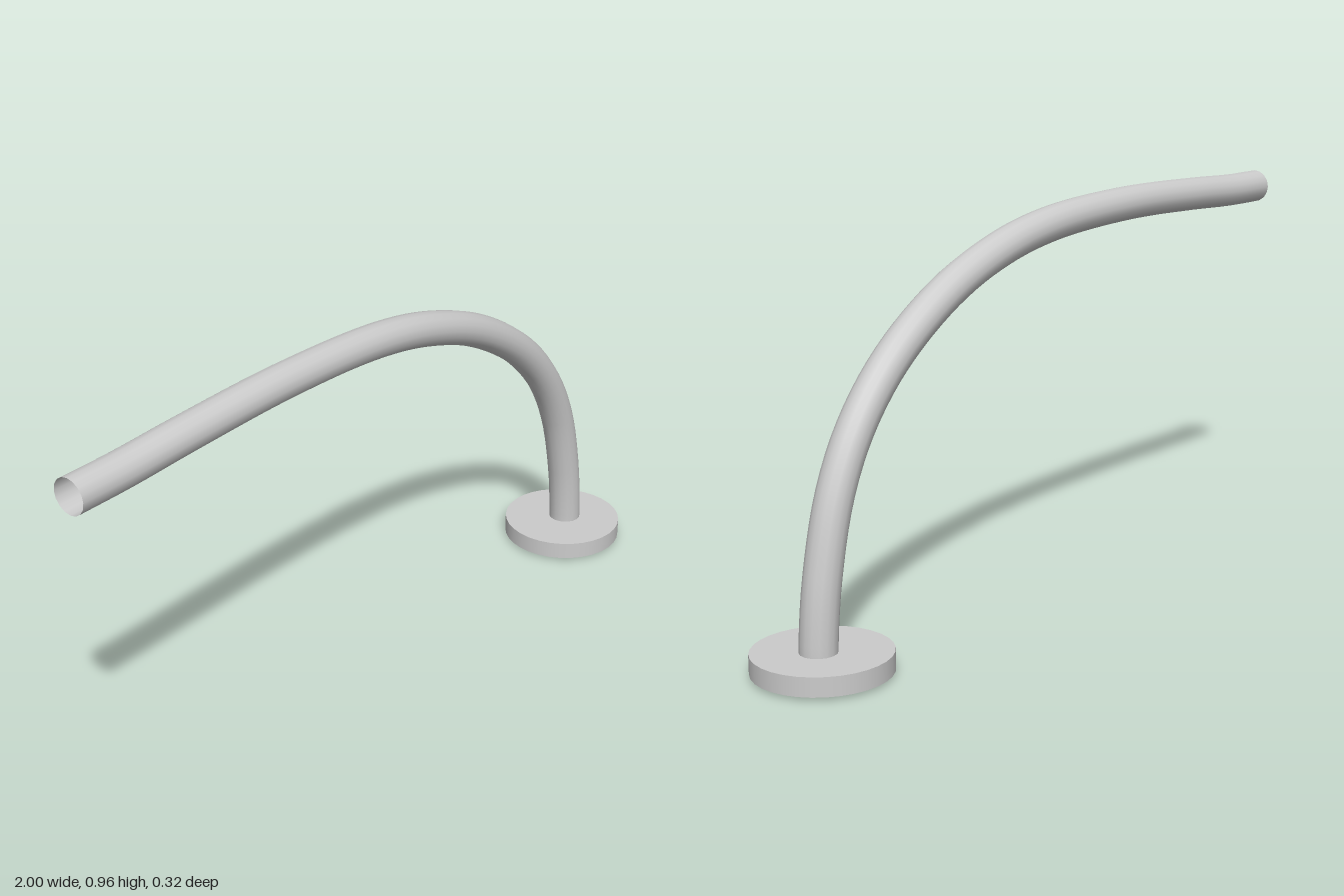
import * as THREE from 'three';

export function createModel() {
  const group = new THREE.Group();

  // Curved hollow arm: rises from the mounting plate and bends over to the side
  const path = new THREE.CatmullRomCurve3([
    [0.851, 0.002], [0.849, 0.08], [0.832, 0.22], [0.785, 0.4], [0.71, 0.54], [0.59, 0.668],
    [0.4, 0.79], [0.2, 0.865], [0, 0.904], [-0.33, 0.921], [-0.66, 0.913], [-0.85, 0.904], [-1, 0.902],
  ].map(([x, y]) => new THREE.Vector3(x, y, 0)));
  const arm = new THREE.Mesh(
    new THREE.TubeGeometry(path, 64, 0.044, 16, false),
    new THREE.MeshStandardMaterial({ color: 0xcccccc, side: THREE.DoubleSide }),
  );
  arm.name = 'arm';
  group.add(arm);

  // Round mounting plate; the arm pokes slightly out of its underside
  const plate = new THREE.Mesh(
    new THREE.CylinderGeometry(0.162, 0.162, 0.046, 32),
    new THREE.MeshStandardMaterial({ color: 0xcccccc }),
  );
  plate.name = 'mountingPlate';
  plate.position.set(0.838, 0.032, 0);
  group.add(plate);

  return group;
}
